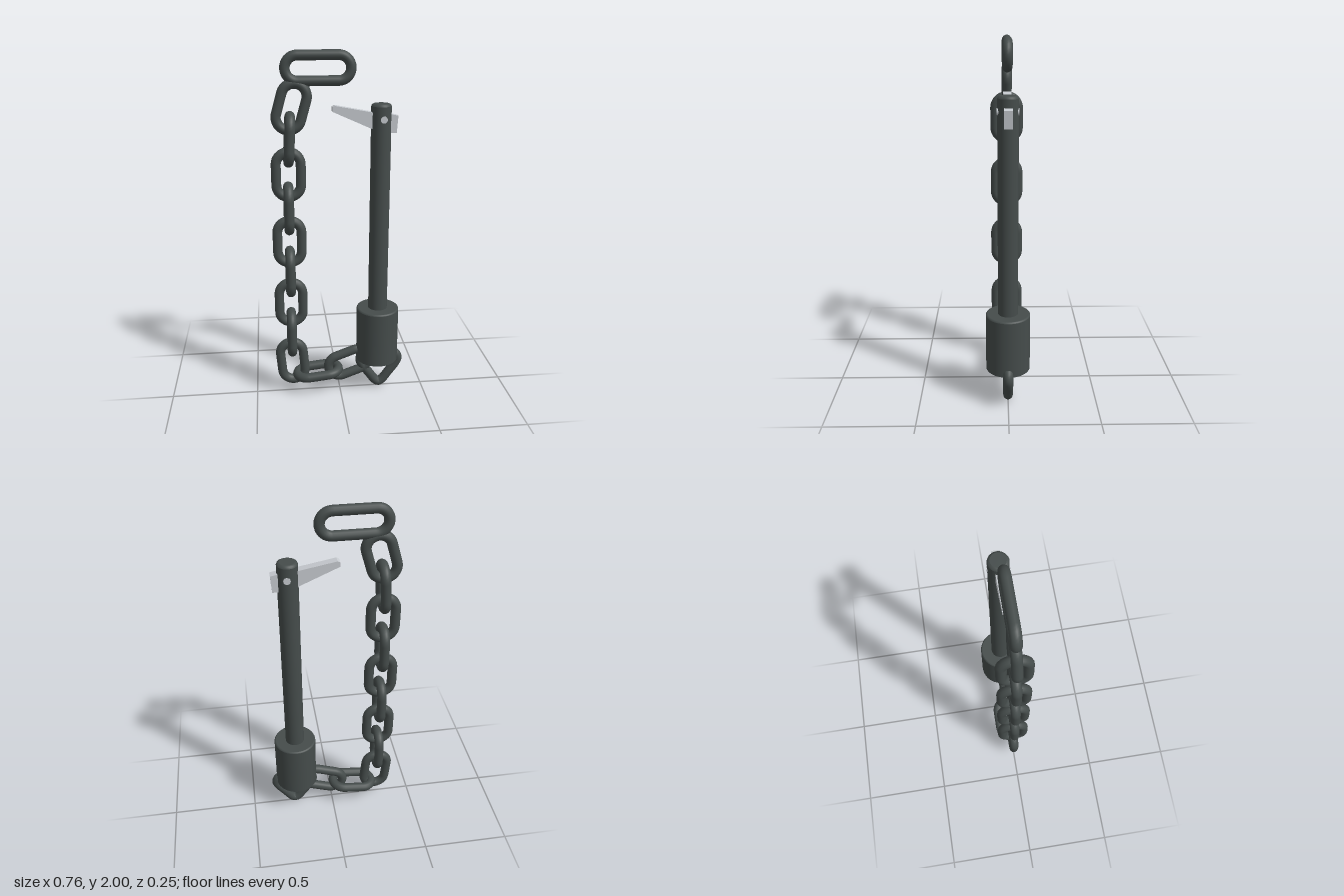
import * as THREE from 'three';

const WIRE = 0.0275;

// Closed stadium-shaped centreline, long axis along y
class LinkCurve extends THREE.Curve {
  constructor(length, width) {
    super();
    this.r = width / 2 - WIRE;
    this.h = (length - width) / 2;
  }
  getPoint(t, target = new THREE.Vector3()) {
    const { r, h } = this, arc = Math.PI * r, half = arc + 2 * h;
    let d = (t % 1) * 2 * half;
    const sign = d >= half ? -1 : 1;
    if (sign < 0) d -= half;
    if (d < arc) {
      const a = d / r;
      return target.set(sign * r * Math.cos(a), sign * (h + r * Math.sin(a)), 0);
    }
    return target.set(-sign * r, sign * (h - (d - arc)), 0);
  }
}

export function createModel() {
  const group = new THREE.Group();
  const darkSteel = new THREE.MeshStandardMaterial({ color: 0x454c4b });
  darkSteel.name = 'dark steel';
  const brightSteel = new THREE.MeshStandardMaterial({ color: 0xc6cacf });
  brightSteel.name = 'bright steel';

  const add = (name, geometry, material, x = 0, y = 0, z = 0) => {
    const mesh = new THREE.Mesh(geometry, material);
    mesh.name = name;
    mesh.position.set(x, y, z);
    group.add(mesh);
    return mesh;
  };

  // Chain: x, y, lean in degrees, turned edge-on to the front
  const linkGeo = new THREE.TubeGeometry(new LinkCurve(0.303, 0.19), 56, WIRE, 14, true);
  const links = [
    [-0.257, 1.708, -16, false],
    [-0.272, 1.536, -3, true],
    [-0.28, 1.343, 0, false],
    [-0.283, 1.152, 0, true],
    [-0.283, 0.956, 0, false],
    [-0.283, 0.776, 0, true],
    [-0.283, 0.583, 0, false],
    [-0.284, 0.392, 0, true],
    [-0.282, 0.201, 5, false],
    [-0.132, 0.122, -84, true],
    [0.052, 0.168, -70, false],
  ];
  links.forEach(([x, y, lean, edgeOn], i) => {
    const link = add(`chainLink${i + 1}`, linkGeo, darkSteel, x, y);
    link.rotation.order = 'ZYX';
    link.rotation.set(0, edgeOn ? Math.PI / 2 : 0, THREE.MathUtils.degToRad(lean));
  });

  // Long end link lying horizontally at the top of the chain
  const endGeo = new THREE.TubeGeometry(new LinkCurve(0.403, 0.186), 64, WIRE, 14, true);
  add('endLink', endGeo, darkSteel, -0.113, 1.907).rotation.z = Math.PI / 2;

  // Triangular ring passing through the base of the head
  const side = [[0.022, 0.046], [0.06, 0.097], [0.1, 0.152], [0.115, 0.19], [0.1, 0.222], [0.06, 0.228]];
  const ringPoints = [[0, 0.033], ...side, ...side.slice().reverse().map(([x, y]) => [-x, y])]
    .map(([x, y]) => new THREE.Vector3(x, y, 0));
  const ringCurve = new THREE.CatmullRomCurve3(ringPoints, true);
  add('triangleRing', new THREE.TubeGeometry(ringCurve, 80, WIRE, 14, true), darkSteel, 0.237, -0.005);

  // Solid turned part with small chamfers at the rims
  const turned = (radius, bottom, top, bevel) => {
    const profile = [
      [[0, bottom], [radius, bottom]],
      [[radius, bottom], [radius, top - bevel]],
      [[radius, top - bevel], [radius - bevel * 0.3, top - bevel * 0.3], [radius - bevel, top]],
      [[radius - bevel, top], [0, top]],
    ];
    return profile.map(p => new THREE.LatheGeometry(p.map(([x, y]) => new THREE.Vector2(x, y)), 40));
  };
  const PIN_X = 0.224;
  turned(0.123, 0.198, 0.53, 0.008).forEach((g, i) => add(`pinHead${i + 1}`, g, darkSteel, PIN_X));
  turned(0.055, 0.5, 1.72, 0.014).forEach((g, i) => add(`pinShaft${i + 1}`, g, darkSteel, PIN_X));

  // Flat locking lever through the slot in the shaft
  const lever = new THREE.Shape([
    [-0.041, 1.682], [0.17, 1.588], [0.222, 1.59], [0.274, 1.61], [0.274, 1.563],
    [0.306, 1.563], [0.313, 1.656], [0.274, 1.664], [0.17, 1.676], [-0.028, 1.713], [-0.041, 1.706],
  ].map(([x, y]) => new THREE.Vector2(x, y)));
  add('lockingLever', new THREE.ExtrudeGeometry(lever, { depth: 0.044, bevelEnabled: false }), brightSteel, 0, 0, -0.022);

  // Cross pin on which the lever pivots
  const rivet = new THREE.CylinderGeometry(0.019, 0.019, 0.114, 12);
  add('leverRivet', rivet, brightSteel, 0.231, 1.64).rotation.x = Math.PI / 2;

  return group;
}
